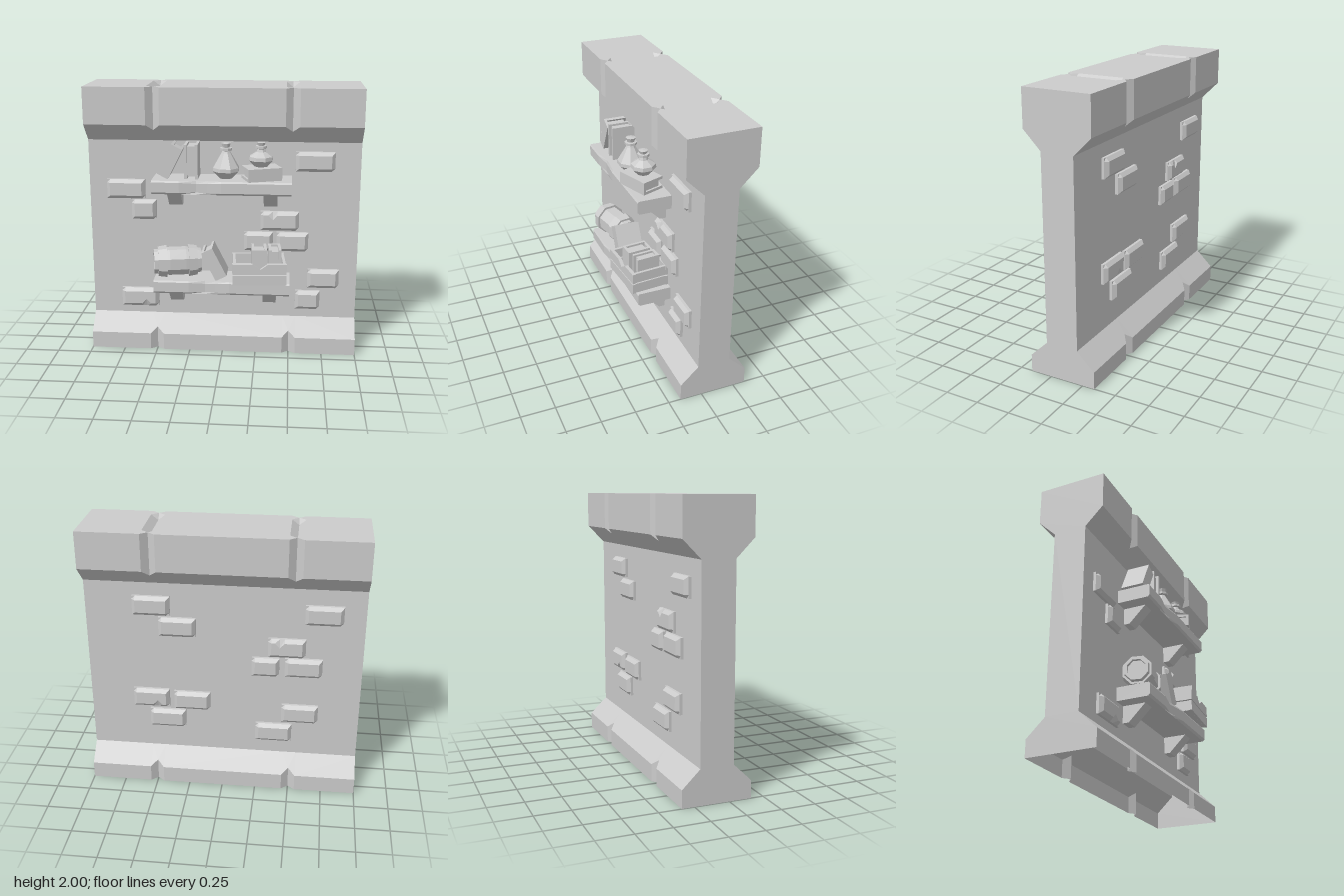
import * as THREE from 'three';

const mat = new THREE.MeshStandardMaterial({ color: 0xcccccc, flatShading: true, side: THREE.DoubleSide });

function mesh(geo, name, parent, x = 0, y = 0, z = 0) {
  const m = new THREE.Mesh(geo, mat);
  m.name = name;
  m.position.set(x, y, z);
  parent.add(m);
  return m;
}

function group(name, parent, x = 0, y = 0, z = 0, rx = 0, ry = 0, rz = 0) {
  const g = new THREE.Group();
  g.name = name;
  g.position.set(x, y, z);
  g.rotation.set(rx, ry, rz);
  parent.add(g);
  return g;
}

const box = (name, parent, w, h, d, x, y, z) => mesh(new THREE.BoxGeometry(w, h, d), name, parent, x, y, z);

// Skin cross-sections {x, pts:[[z,y],...]} running along +x; flipped(k, i) picks the other quad diagonal
function loft(sections, { closed = false, flipped = () => false } = {}) {
  const pos = [];
  const tri = (...p) => p.forEach(v => pos.push(...v));
  const at = (s, i) => [s.x, s.pts[i][1], s.pts[i][0]];
  const n = sections[0].pts.length;
  for (let k = 0; k < sections.length - 1; k++) {
    for (let i = 0; i < (closed ? n : n - 1); i++) {
      const j = (i + 1) % n, A = sections[k], B = sections[k + 1];
      const a = at(A, i), b = at(B, i), c = at(B, j), d = at(A, j);
      if (flipped(k, i)) { tri(a, b, d); tri(b, c, d); } else { tri(a, b, c); tri(a, c, d); }
    }
  }
  // End caps
  const first = sections[0], last = sections[sections.length - 1];
  for (let i = 0; i < n / 2 - 1; i++) {
    const q = [i, n - 1 - i, n - 2 - i, i + 1];
    const [a, b, c, d] = q.map(v => at(last, v));
    tri(a, b, c); tri(a, c, d);
    const [e, f, g, h] = q.map(v => at(first, v));
    tri(e, g, f); tri(e, h, g);
  }
  const geo = new THREE.BufferGeometry();
  geo.setAttribute('position', new THREE.Float32BufferAttribute(pos, 3));
  geo.computeVertexNormals();
  return geo;
}

// Wall with flared base and cornice, V joints at x = +-0.5, open underneath
function wallGeometry() {
  const section = (x, cut) => {
    const r = cut ? 0.21 : 0.25, e = 0.25 - r;
    const half = [[r, 0], [r, 0.125 + e], [0.12, 0.25], [0.12, 1.6], [r, 1.73 - e], [r, 2], [0.17, cut ? 1.96 : 2]];
    const back = half.map(([z, y]) => [-z, y]).reverse();
    return { x, cut, pts: [...half, ...back] };
  };
  const secs = [-1, -0.55, -0.5, -0.45, 0.45, 0.5, 0.55, 1].map(x => section(x, Math.abs(x) === 0.5));
  return loft(secs, { flipped: (k, i) => !secs[k].cut === (i < 6) });
}

// Bevelled brick facing +z; chip = [x, side] dents the bevel at the top (1) or bottom (-1)
function brick(parent, x, y, w, h, chip) {
  const d = 0.045, lip = 0.02, b = 0.025;
  const full = (cx, dent = 0) => {
    const top = h / 2 - b - (dent > 0 ? 0.035 : 0), bot = -h / 2 + b + (dent < 0 ? 0.035 : 0);
    return { x: cx, pts: [[0, -h / 2], [lip, -h / 2], [d, bot], [d, top], [lip, h / 2], [0, h / 2]] };
  };
  const end = cx => ({ x: cx, pts: [[0, -h / 2], [lip, -h / 2], [lip, -h / 2 + b], [lip, h / 2 - b], [lip, h / 2], [0, h / 2]] });
  const secs = [end(-w / 2), full(-w / 2 + b)];
  if (chip) secs.push(full(chip[0] - 0.035), full(chip[0], chip[1]), full(chip[0] + 0.035));
  secs.push(full(w / 2 - b), end(w / 2));
  mesh(loft(secs), 'brick', parent, x, y, 0);
}

// Worn shelf board on two wedge brackets; y is the board top
function shelf(parent, y, dentX) {
  const g = group('shelf', parent, 0, y, 0.03);
  const sec = (x, dent) => ({ x, pts: [[0, -0.1], [0.235, -0.1], [0.25 - dent, -0.085], [0.25 - dent, -0.012 - dent / 2], [0.242 - dent, 0], [0, 0]] });
  mesh(loft([sec(-0.5, 0), sec(dentX - 0.12, 0), sec(dentX, 0.02), sec(dentX + 0.08, 0.012), sec(dentX + 0.18, 0), sec(0.5, 0)], { closed: true }), 'shelfBoard', g);
  const wedge = [[0, -0.225], [0.045, -0.225], [0.17, -0.1], [0, -0.1]];
  for (const x of [-0.35, 0.35])
    mesh(loft([{ x: x - 0.05, pts: wedge }, { x: x + 0.05, pts: wedge }], { closed: true }), 'shelfBracket', g);
}

// Book standing upright: thickness t, height h, depth d; spine = 1 front, -1 back
function book(parent, t, h, d, spine) {
  const c = 0.02;
  for (const s of [-1, 1]) box('bookCover', parent, c, h, d, s * (t - c) / 2, 0, 0);
  box('bookSpine', parent, t - 2 * c, h, c, 0, 0, spine * (d - c) / 2);
  box('bookPages', parent, t - 2 * c, h - 0.03, d - 0.03, 0, 0, spine * 0.005);
}

function lathe(name, parent, pts, sides, x, y, z) {
  return mesh(new THREE.LatheGeometry(pts.map(p => new THREE.Vector2(...p)), sides, Math.PI / 8), name, parent, x, y, z);
}

export function createModel() {
  const model = new THREE.Group();
  model.name = 'wallWithShelves';
  mesh(wallGeometry(), 'wall', model, 0, 0, -0.09);

  // Front bricks: x, y, width, height, chip
  const front = group('frontBricks', model, 0, 0, 0.03);
  [[-0.725, 1.235, 0.285, 0.145], [-0.593, 1.08, 0.185, 0.15], [0.67, 1.46, 0.285, 0.145],
    [0.418, 1.01, 0.285, 0.145, [-0.05, 1]], [0.262, 0.85, 0.215, 0.145], [0.515, 0.85, 0.235, 0.145],
    [0.75, 0.565, 0.235, 0.145], [0.637, 0.393, 0.185, 0.145], [-0.638, 0.383, 0.285, 0.145, [0.05, -1]],
  ].forEach(b => brick(front, ...b));

  // Back bricks, turned to face -z
  const back = group('backBricks', model, 0, 0, -0.21, 0, Math.PI);
  [[0.52, 1.43], [0.335, 1.27], [-0.71, 1.41], [-0.455, 1.145, 0.27, [-0.05, 1]], [-0.305, 0.985, 0.2], [-0.58, 0.99],
    [0.54, 0.68, 0.27, [0.05, -1]], [0.235, 0.67], [0.42, 0.51], [-0.565, 0.605], [-0.375, 0.435],
  ].forEach(([x, y, w = 0.27, chip]) => brick(back, -x, y, w, 0.145, chip));

  shelf(model, 1.353, -0.18);
  shelf(model, 0.6, -0.12);

  // Upper shelf: books and flasks
  book(group('leaningBook', model, -0.375, 1.478, 0.125, 0, 0, -0.47), 0.09, 0.24, 0.17, 1);
  book(group('uprightBook', model, -0.22, 1.478, 0.125), 0.098, 0.25, 0.17, -1);
  book(group('lyingBook', model, 0.285, 1.4, 0.17, 0, 0.35, Math.PI / 2), 0.092, 0.25, 0.17, 1);
  lathe('tallFlask', model, [[0, 0], [0.045, 0], [0.1, 0.055], [0.098, 0.08], [0.035, 0.185], [0.028, 0.2], [0.045, 0.205],
    [0.045, 0.222], [0.026, 0.225], [0.036, 0.255], [0, 0.26]], 8, 0.027, 1.353, 0.145);
  lathe('roundFlask', model, [[0, 0], [0.05, 0], [0.09, 0.045], [0.086, 0.072], [0.035, 0.105], [0.028, 0.125], [0.042, 0.13],
    [0.042, 0.148], [0.025, 0.15], [0.034, 0.172], [0, 0.176]], 8, 0.278, 1.446, 0.15);

  // Lower shelf: keg lying on its side
  const keg = group('keg', model, -0.335, 0.715, 0.145, 0, 0.2, Math.PI / 2);
  lathe('kegBody', keg, [[0, -0.15], [0.07, -0.15], [0.07, -0.175], [0.09, -0.175], [0.105, -0.06], [0.105, 0.06],
    [0.09, 0.175], [0.07, 0.175], [0.07, 0.15], [0, 0.15]], 8);
  for (const s of [-1, 1])
    lathe('kegBand', keg, [[0.09, s * 0.145], [0.11, s * 0.145], [0.12, s * 0.08], [0.1, s * 0.08]], 8);

  book(group('tiltedBook', model, -0.055, 0.722, 0.15, 0, 0, 0.47), 0.09, 0.235, 0.19, 1);

  // Plank crate with a broken front board
  const crate = group('crate', model, 0.272, 0.6, 0.185, 0, 0.08);
  box('crateFloor', crate, 0.37, 0.02, 0.25, 0, 0.01, 0);
  for (const y of [0.038, 0.122]) {
    for (const s of [-1, 1]) box('crateSide', crate, 0.02, 0.075, 0.25, s * 0.18, y, 0);
    box('crateBack', crate, 0.39, 0.075, 0.02, 0, y, -0.13);
  }
  box('crateFrontLower', crate, 0.39, 0.075, 0.025, 0, 0.038, 0.13);
  const broken = new THREE.Shape([[-0.195, 0.084], [0.195, 0.084], [0.195, 0.16], [0.06, 0.16], [0.005, 0.12], [-0.05, 0.16], [-0.195, 0.16]]
    .map(p => new THREE.Vector2(...p)));
  mesh(new THREE.ExtrudeGeometry(broken, { depth: 0.025, bevelEnabled: false }), 'crateFrontUpper', crate, 0, 0, 0.1175);

  // Small books in the crate
  book(group('crateBook', crate, 0.0, 0.137, 0.02), 0.11, 0.235, 0.17, 1);
  book(group('crateBook', crate, 0.115, 0.13, 0.0), 0.09, 0.235, 0.17, -1);

  return model;
}
